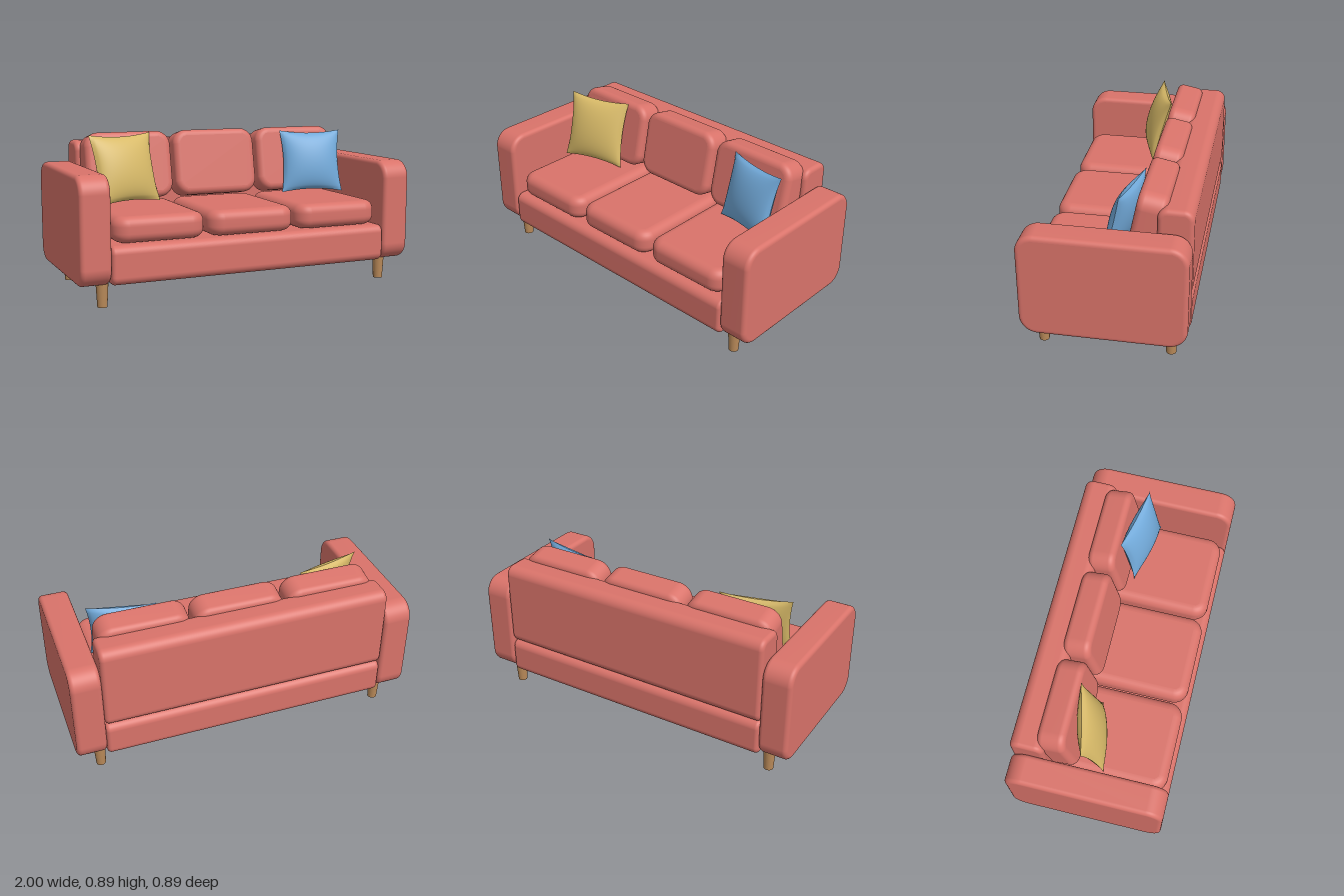
import * as THREE from 'three';
import { mergeVertices } from 'three/addons/utils/BufferGeometryUtils.js';

// Upholstered block: rounded outline extruded along an axis, with soft rims.
// r rounds the outline, b rounds the rims.
function softBlock(w, h, d, axis, r, b) {
  const [ow, oh, depth] = axis === 'x' ? [d, h, w] : axis === 'y' ? [w, d, h] : [w, h, d];
  const x = ow / 2 - b, y = oh / 2 - b, c = Math.max(r - b, 0.004);
  const s = new THREE.Shape();
  s.moveTo(x, -y + c);
  s.absarc(x - c, y - c, c, 0, Math.PI / 2);
  s.absarc(-x + c, y - c, c, Math.PI / 2, Math.PI);
  s.absarc(-x + c, -y + c, c, Math.PI, Math.PI * 1.5);
  s.absarc(x - c, -y + c, c, Math.PI * 1.5, Math.PI * 2);
  let g = new THREE.ExtrudeGeometry(s, {
    depth: depth - 2 * b, bevelEnabled: true, bevelSize: b, bevelThickness: b,
    bevelSegments: 7, curveSegments: 8,
  });
  g.translate(0, 0, -depth / 2 + b);
  if (axis === 'x') g.rotateY(Math.PI / 2);
  if (axis === 'y') g.rotateX(-Math.PI / 2);
  g.deleteAttribute('uv');
  g.deleteAttribute('normal');
  g = mergeVertices(g, 1e-5);
  g.computeVertexNormals();
  return g;
}

// One puffed face of a throw pillow, with pinched sides and pointed corners
function pillowFace(size, thickness) {
  const g = new THREE.PlaneGeometry(2, 2, 28, 28);
  const p = g.attributes.position;
  for (let i = 0; i < p.count; i++) {
    const u = p.getX(i), v = p.getY(i);
    const puff = Math.max(0, (1 - u * u) * (1 - v * v)) ** 0.6;
    p.setXYZ(i,
      u * (1 - 0.09 * (1 - v * v) * u * u) * size / 2,
      v * (1 - 0.09 * (1 - u * u) * v * v) * size / 2,
      puff * thickness / 2);
  }
  g.computeVertexNormals();
  return g;
}

export function createModel() {
  const material = (name, color) => {
    const m = new THREE.MeshStandardMaterial({ color });
    m.name = name;
    return m;
  };
  const fabric = material('coral fabric', 0xd9736a);
  const wood = material('wood', 0xba8a59);
  const gold = material('gold fabric', 0xd8ba68);
  const blue = material('blue fabric', 0x72aada);

  const sofa = new THREE.Group();
  sofa.name = 'sofa';
  const add = (name, geometry, mat, x, y, z, parent = sofa) => {
    const mesh = new THREE.Mesh(geometry, mat);
    mesh.name = name;
    mesh.position.set(x, y, z);
    parent.add(mesh);
    return mesh;
  };

  // Frame
  add('base', softBlock(1.66, 0.212, 0.89, 'x', 0.045, 0.022), fabric, 0, 0.231, 0);
  add('backrest', softBlock(1.66, 0.5, 0.19, 'x', 0.055, 0.025), fabric, 0, 0.582, -0.35);

  // Arms and tapered legs
  const arm = softBlock(0.17, 0.59, 0.89, 'x', 0.1, 0.025);
  const leg = new THREE.CylinderGeometry(0.035, 0.027, 0.15, 24);
  for (const [side, label] of [[1, 'left'], [-1, 'right']]) {
    add(label + 'Arm', arm, fabric, side * 0.915, 0.417, 0);
    add(label + 'FrontLeg', leg, wood, side * 0.862, 0.075, 0.347);
    add(label + 'BackLeg', leg, wood, side * 0.862, 0.075, -0.347);
  }

  // Three seat cushions and three leaning back cushions
  const seat = softBlock(0.522, 0.142, 0.67, 'y', 0.085, 0.052);
  const back = softBlock(0.522, 0.39, 0.16, 'z', 0.085, 0.036);
  ['right', 'middle', 'left'].forEach((label, i) => {
    const x = (i - 1) * 0.543;
    add(label + 'SeatCushion', seat, fabric, x, 0.411, 0.085);
    add(label + 'BackCushion', back, fabric, x, 0.685, -0.195).rotation.x = -0.2;
  });

  // Throw pillows
  const addPillow = (name, mat, size, thickness, position, tilt, yaw) => {
    const pillow = new THREE.Group();
    pillow.name = name;
    const face = pillowFace(size, thickness);
    add('pillowFront', face, mat, 0, 0, 0, pillow);
    add('pillowBack', face, mat, 0, 0, 0, pillow).rotation.y = Math.PI;
    pillow.position.set(...position);
    pillow.rotation.set(-tilt, yaw, 0, 'YXZ');
    sofa.add(pillow);
  };
  addPillow('goldPillow', gold, 0.405, 0.13, [-0.6, 0.688, -0.045], 0.28, 0.25);
  addPillow('bluePillow', blue, 0.385, 0.12, [0.613, 0.68, -0.055], 0.23, -0.21);

  return sofa;
}
